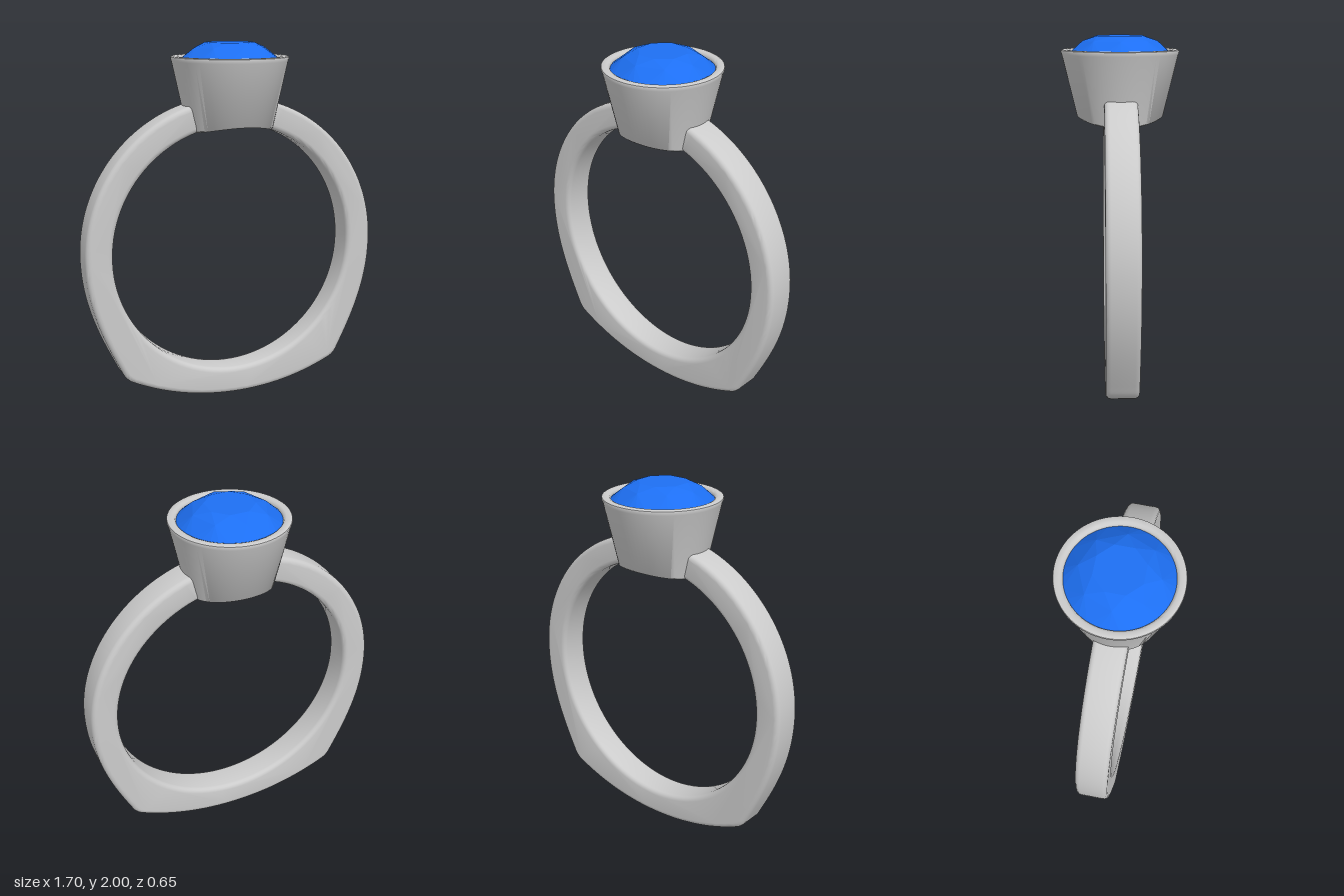
import * as THREE from 'three';
import { toCreasedNormals } from 'three/addons/utils/BufferGeometryUtils.js';
import { ConvexGeometry } from 'three/addons/geometries/ConvexGeometry.js';

const CY = 0.855;      // centre height of the finger hole
const INNER = 0.7;     // finger hole radius
const OUTER = 0.85;    // shank outer radius
const GAP = 0.27;      // half angle of the opening under the bezel

const metal = new THREE.MeshStandardMaterial({ color: 0xcccccc });
const blue = new THREE.MeshStandardMaterial({ color: 0x1d6ff2 });

// Points on a circle about the finger hole, angles measured from the top
function arc(radius, from, to, n) {
  return Array.from({ length: n + 1 }, (_, i) => {
    const a = from + (to - from) * i / n;
    return new THREE.Vector2(radius * Math.sin(a), CY + radius * Math.cos(a));
  });
}

// Open band with two soft corners low on its sides
function createShank() {
  const v = (x, y) => new THREE.Vector2(x, y);
  const side = new THREE.CubicBezierCurve(v(OUTER, CY), v(0.85, 0.6), v(0.76, 0.4), v(0.66, 0.205));
  const corner = new THREE.QuadraticBezierCurve(v(0.66, 0.205), v(0.64, 0.157), v(0.6, 0.138));
  const base = new THREE.QuadraticBezierCurve(v(0.6, 0.138), v(0.32, 0.004), v(0, 0.004));
  const half = [
    ...arc(OUTER, GAP, Math.PI / 2, 32),
    ...side.getPoints(20).slice(1),
    ...corner.getPoints(6).slice(1),
    ...base.getPoints(18).slice(1),
  ];
  const mirrored = half.slice(0, -1).reverse().map(p => v(-p.x, p.y));
  const inside = arc(INNER, 2 * Math.PI - GAP, GAP, 96);
  const bevel = 0.028, width = 0.18;
  const geo = new THREE.ExtrudeGeometry(new THREE.Shape([...half, ...mirrored, ...inside]), {
    depth: width - 2 * bevel, steps: 1,
    bevelEnabled: true, bevelThickness: bevel, bevelSize: bevel,
    bevelOffset: -bevel, bevelSegments: 4,
  });
  geo.translate(0, 0, -width / 2 + bevel);
  const mesh = new THREE.Mesh(toCreasedNormals(geo, 0.7), metal);
  mesh.name = 'shank';
  return mesh;
}

// Tapered cup with a recess below, its underside cut to the finger hole
function createBezel() {
  const cut = 1.555;
  const profile = [
    [0, 1.66], [0.05, 1.652], [0.09, 1.63], [0.112, 1.6], [0.12, 1.575],
    [0.135, cut], [0.18, cut], [0.228, cut], [0.238, 1.564],
    [0.32, 1.9], [0.325, 1.913], [0.323, 1.922], [0.315, 1.926],
    [0.292, 1.926], [0.281, 1.921], [0.276, 1.91], [0.275, 1.87], [0.2, 1.86],
  ].map(([x, y]) => new THREE.Vector2(x, y));
  const geo = new THREE.LatheGeometry(profile, 72);
  const pos = geo.attributes.position;
  for (let i = 0; i < pos.count; i++) {
    const y = pos.getY(i), x = pos.getX(i);
    if (y < 1.57) pos.setY(i, y - cut + CY + Math.sqrt(INNER * INNER - x * x));
  }
  const mesh = new THREE.Mesh(toCreasedNormals(geo, 0.75), metal);
  mesh.name = 'bezel';
  return mesh;
}

// Round brilliant: table, crown points, girdle and pavilion tip
function createGem() {
  const points = [new THREE.Vector3(0, 1.69, 0)];
  const ring = (n, r, y, turn) => {
    for (let i = 0; i < n; i++) {
      const a = (i + turn) / n * Math.PI * 2;
      points.push(new THREE.Vector3(r * Math.sin(a), y, r * Math.cos(a)));
    }
  };
  ring(8, 0.135, 2.0, 0.5);
  ring(8, 0.205, 1.972, 0);
  ring(32, 0.285, 1.9, 0);
  const mesh = new THREE.Mesh(new ConvexGeometry(points), blue);
  mesh.name = 'gem';
  return mesh;
}

export function createModel() {
  const ring = new THREE.Group();
  ring.name = 'ring';
  ring.add(createShank(), createBezel(), createGem());
  return ring;
}
